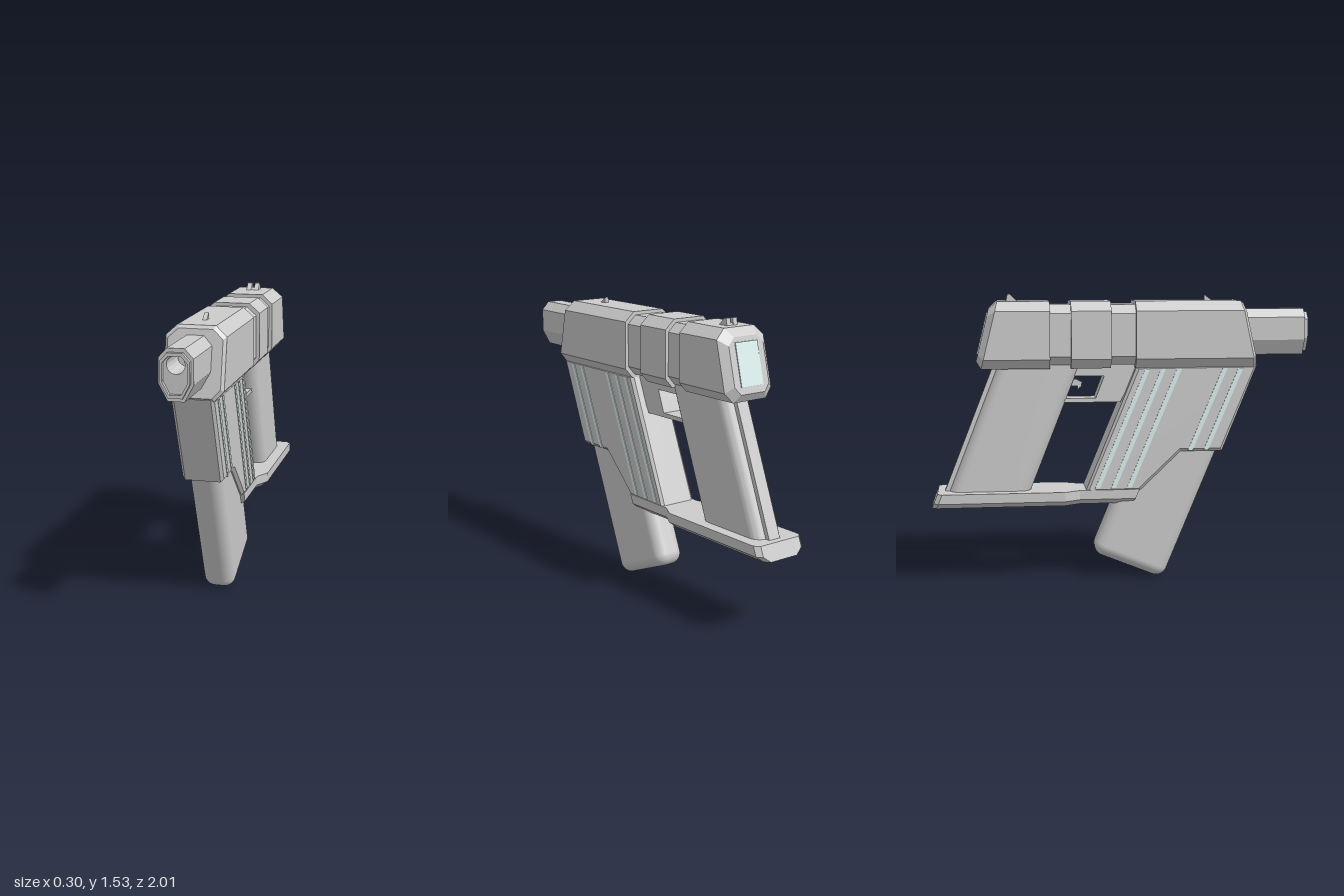
import * as THREE from 'three';
import { toCreasedNormals } from 'three/addons/utils/BufferGeometryUtils.js';
import { RoundedBoxGeometry } from 'three/addons/geometries/RoundedBoxGeometry.js';

const LEAN = 0.42; // forward lean of grip and fore body: z per unit y

export function createModel() {
  const model = new THREE.Group();
  const grey = new THREE.MeshStandardMaterial({ color: 0xcccccc });
  const pale = new THREE.MeshStandardMaterial({ color: 0xdcf0ee });

  const add = (name, geometry, material = grey) => {
    const mesh = new THREE.Mesh(geometry, material);
    mesh.name = name;
    model.add(mesh);
    return mesh;
  };

  // Full outline from the right half, listed bottom to top
  const mirror = half => [...half, ...half.map(([x, y]) => [-x, y]).reverse()];
  const toShape = pts => new THREE.Shape(pts.map(p => new THREE.Vector2(...p)));

  // Flat-sided skin through matching rings, ordered from front to back, with end caps
  function loft(rings) {
    const pos = [];
    const tri = (...p) => p.forEach(v => pos.push(...v));
    const n = rings[0].length, last = rings[rings.length - 1];
    for (let i = 0; i < rings.length - 1; i++) {
      for (let j = 0; j < n; j++) {
        const k = (j + 1) % n, r = rings[i], s = rings[i + 1];
        tri(r[j], s[j], s[k]);
        tri(r[j], s[k], r[k]);
      }
    }
    for (let j = 1; j < n - 1; j++) {
      tri(rings[0][0], rings[0][j], rings[0][j + 1]);
      tri(last[0], last[j + 1], last[j]);
    }
    const g = new THREE.BufferGeometry();
    g.setAttribute('position', new THREE.Float32BufferAttribute(pos, 3));
    g.computeVertexNormals();
    return g;
  }

  // Side outline in (z, y), extruded across x
  function plate(pts, halfWidth, { hole, bevel = 0, x = 0 } = {}) {
    const shape = toShape(pts);
    if (hole) shape.holes.push(new THREE.Path(hole.map(p => new THREE.Vector2(...p))));
    const g = new THREE.ExtrudeGeometry(shape, {
      depth: 2 * (halfWidth - bevel), bevelEnabled: bevel > 0, bevelSegments: 1,
      bevelSize: bevel, bevelThickness: bevel, bevelOffset: -bevel,
    });
    return g.translate(0, 0, bevel - halfWidth).rotateY(-Math.PI / 2).translate(x, 0, 0);
  }

  // Slide: chamfered blocks joined by a thinner core
  const slideOutline = mirror([[0.105, 1.15], [0.15, 1.2], [0.15, 1.45], [0.095, 1.5]]);
  const slideRing = (inset, z) => slideOutline.map(([x, y]) => {
    const px = x * (1 - inset / 0.15), py = 1.325 + (y - 1.325) * (1 - inset / 0.175);
    return [px, py, typeof z === 'function' ? z(py) : z];
  });
  const front = y => 0.64 + (1.5 - y) * 0.22;
  const back = y => -0.655 - (1.5 - y) * 0.25;
  add('slideFront', loft([slideRing(0.015, front), slideRing(0, y => front(y) - 0.015), slideRing(0, 0.065)]));
  add('slideMiddle', loft([slideRing(0, -0.065), slideRing(0, -0.275)]));
  add('slideRear', loft([slideRing(0, -0.385), slideRing(0, back), slideRing(0.04, y => back(y) - 0.035)]));
  add('slideCore', loft([slideRing(0.018, 0.1), slideRing(0.018, -0.42)]));

  // Pale panel set on the sloping rear face
  const panelRing = offset => [[0.07, 1.225], [0.07, 1.435], [-0.07, 1.435], [-0.07, 1.225]]
    .map(([x, y]) => [x, y, back(y) - offset]);
  add('rearPanel', loft([panelRing(0.02), panelRing(0.04)]), pale);

  // Barrel with a stepped rim and a recessed bore
  const barrelOutline = mirror([[0.04, 1.21], [0.083, 1.29], [0.083, 1.41], [0.042, 1.455]]);
  const scaled = s => barrelOutline.map(([x, y]) => [x * s, 1.335 + (y - 1.335) * s]);
  const bore = () => new THREE.Path().absarc(0, 1.38, 0.044, 0, Math.PI * 2, true);
  const zExtrude = (outline, hole, z0, z1) => {
    const shape = toShape(outline);
    shape.holes.push(hole);
    return new THREE.ExtrudeGeometry(shape, { depth: z1 - z0, bevelEnabled: false, curveSegments: 8 }).translate(0, 0, z0);
  };
  const hollow = s => new THREE.Path(scaled(s).map(p => new THREE.Vector2(...p)));
  add('barrel', zExtrude(barrelOutline, bore(), 0.6, 0.98));
  add('muzzleRim', zExtrude(scaled(0.85), hollow(0.72), 0.975, 1.0));
  add('boreEnd', new THREE.CircleGeometry(0.05, 8).translate(0, 1.38, 0.8));

  // Fore body with five pale stripes on each side
  add('foreBody', plate([[0.72, 1.16], [0.075, 1.16], [-0.2, 0.49], [0.09, 0.49],
    [0.31, 0.7], [0.535, 0.7]], 0.106, { bevel: 0.015 }));
  for (const side of [-1, 1]) {
    for (const [z, bottom] of [[0.63, 0.705], [0.545, 0.705], [0.3, 0.51], [0.215, 0.51], [0.13, 0.51]]) {
      const drop = (1.145 - bottom) * LEAN, w = 0.013;
      add('sideStripe', plate([[z + w, 1.145], [z - w, 1.145], [z - w - drop, bottom], [z + w - drop, bottom]],
        0.003, { x: side * 0.106 }), pale);
    }
  }

  // Leaning rounded magazine
  const magazine = add('magazine', new RoundedBoxGeometry(0.168, 0.9, 0.42, 5, 0.06));
  magazine.position.set(0, 0.486, 0.2);
  magazine.rotation.x = 0.39;

  // Base rail, widening toward the rear foot
  const railRing = (w, z, slope = 0, top = 0.5, low = 0.42) =>
    mirror([[w - 0.04, low], [w, 0.45], [w, top]]).map(([x, y]) => [x, y, z - (0.5 - y) * slope]);
  add('baseRail', loft([railRing(0.106, 0.09, 0.45), railRing(0.106, -0.23), railRing(0.15, -0.31),
    railRing(0.15, -0.955, 0.4), railRing(0.125, -0.98, 0.4)]));

  // Rear grip: rounded section, sheared along its height
  const lean = (g, z) => {
    const p = g.attributes.position;
    for (let i = 0; i < p.count; i++) p.setZ(i, p.getZ(i) + z + (p.getY(i) - 0.5) * 0.395);
    return toCreasedNormals(g, 0.6);
  };
  const w = 0.088, d = 0.215, r = 0.06;
  const section = new THREE.Shape();
  section.absarc(w - r, d - r, r, 0, Math.PI / 2);
  section.absarc(r - w, d - r, r, Math.PI / 2, Math.PI);
  section.absarc(r - w, r - d, r, Math.PI, Math.PI * 1.5);
  section.absarc(w - r, r - d, r, Math.PI * 1.5, Math.PI * 2);
  const gripGeometry = new THREE.ExtrudeGeometry(section, { depth: 0.71, bevelEnabled: false, curveSegments: 6 });
  add('grip', lean(gripGeometry.rotateX(-Math.PI / 2).translate(0, 0.48, 0), -0.702));
  add('gripSpine', lean(new THREE.BoxGeometry(0.07, 0.71, 0.1).toNonIndexed().translate(0, 0.835, 0), -0.892));

  // Trigger guard and trigger
  add('triggerGuard', plate([[0.1, 1.17], [-0.28, 1.17], [-0.34, 0.965], [-0.01, 0.965]], 0.055,
    { hole: [[-0.095, 1.105], [-0.27, 1.105], [-0.31, 0.987], [-0.14, 0.987]] }));
  add('trigger', plate([[-0.21, 1.07], [-0.215, 1.045], [-0.235, 1.03], [-0.235, 1.05], [-0.3, 1.05], [-0.3, 1.085], [-0.24, 1.085]], 0.02));

  // Sights
  add('frontSight', plate([[0.5, 1.49], [0.445, 1.49], [0.445, 1.53]], 0.011));
  for (const side of [-1, 1]) {
    add('rearSight', plate([[-0.54, 1.49], [-0.61, 1.49], [-0.6, 1.535], [-0.585, 1.535]], 0.013, { x: side * 0.021 }));
  }
  add('rearSightBase', plate([[-0.55, 1.49], [-0.605, 1.49], [-0.6, 1.512], [-0.57, 1.512]], 0.03));

  return model;
}
